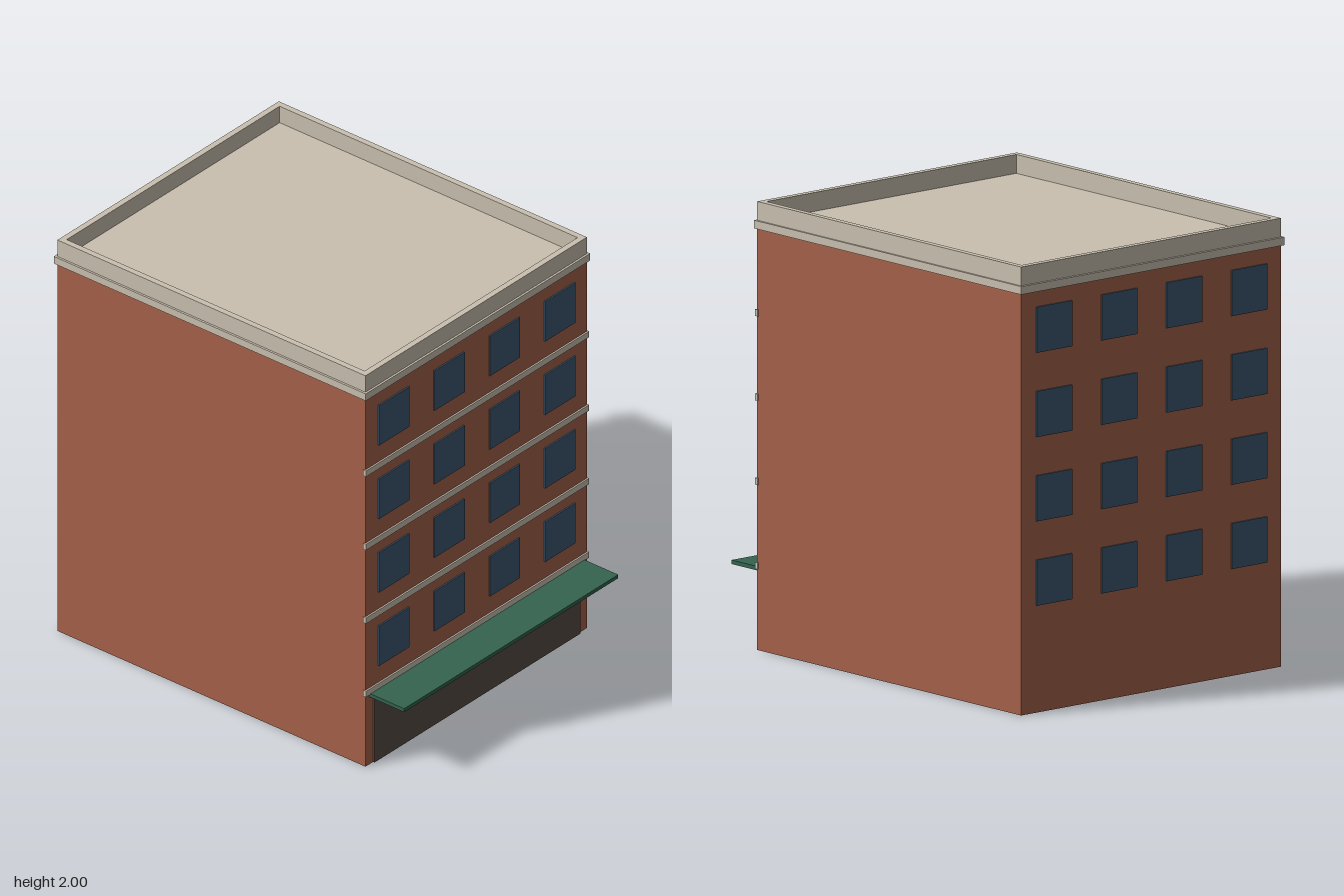
import * as THREE from 'three';

const mat = (name, color) => {
  const m = new THREE.MeshStandardMaterial({ color });
  m.name = name;
  return m;
};

export function createModel() {
  const brick = mat('brick', 0xa5614a);
  const stone = mat('stone', 0xc9c0b0);
  const glass = mat('window glass', 0x3c5870);
  const shop = mat('shopfront', 0x574c47);
  const green = mat('awning green', 0x34644f);

  const model = new THREE.Group();
  model.name = 'building';

  // Box given by its min and max on each axis
  const box = (name, material, [x0, x1], [y0, y1], [z0, z1]) => {
    const mesh = new THREE.Mesh(new THREE.BoxGeometry(x1 - x0, y1 - y0, z1 - z0), material);
    mesh.position.set((x0 + x1) / 2, (y0 + y1) / 2, (z0 + z1) / 2);
    mesh.name = name;
    model.add(mesh);
    return mesh;
  };

  const W = 0.75, front = 0.783, back = -0.968;
  const storey = 0.376, roof = 5 * storey, slabTop = 1.916;

  // Brick body and the projecting roof slab
  box('body', brick, [-W, W], [0, roof], [back, front]);
  box('cornice', stone, [-W - 0.01, W + 0.01], [roof, slabTop], [back - 0.012, front + 0.01]);

  // Parapet ring around the flat roof
  const t = 0.029, mid = (front + back) / 2, halfDepth = (front - back) / 2;
  const rect = (path, a, b) =>
    path.moveTo(-a, -b).lineTo(a, -b).lineTo(a, b).lineTo(-a, b).closePath();
  const ring = new THREE.Shape();
  rect(ring, W, halfDepth);
  const hole = new THREE.Path();
  rect(hole, W - t, halfDepth - t);
  ring.holes.push(hole);
  const parapetGeo = new THREE.ExtrudeGeometry(ring, { depth: 2 - slabTop, bevelEnabled: false });
  parapetGeo.rotateX(-Math.PI / 2);
  const parapet = new THREE.Mesh(parapetGeo, stone);
  parapet.name = 'parapet';
  parapet.position.set(0, slabTop, mid);
  model.add(parapet);

  // Stone bands and windows for each upper storey, windows front and back
  for (let floor = 1; floor <= 4; floor++) {
    const y = floor * storey;
    box('floorBand', stone, [-W - 0.006, W + 0.006], [y - 0.015, y + 0.015], [front - 0.008, front + 0.008]);
    for (let i = 0; i < 4; i++) {
      const x = (i - 1.5) * 0.375;
      const xs = [x - 0.102, x + 0.102];
      const ys = [y + 0.102, y + 0.306];
      box('frontWindow', glass, xs, ys, [front - 0.001, front + 0.007]);
      box('backWindow', glass, xs, ys, [back - 0.007, back + 0.001]);
    }
  }

  // Ground floor shopfront and flat awning
  box('shopfront', shop, [-0.698, 0.698], [0, 0.33], [front - 0.001, front + 0.008]);
  box('awning', green, [-0.725, 0.725], [0.346, 0.364], [front, 0.982]);

  return model;
}
